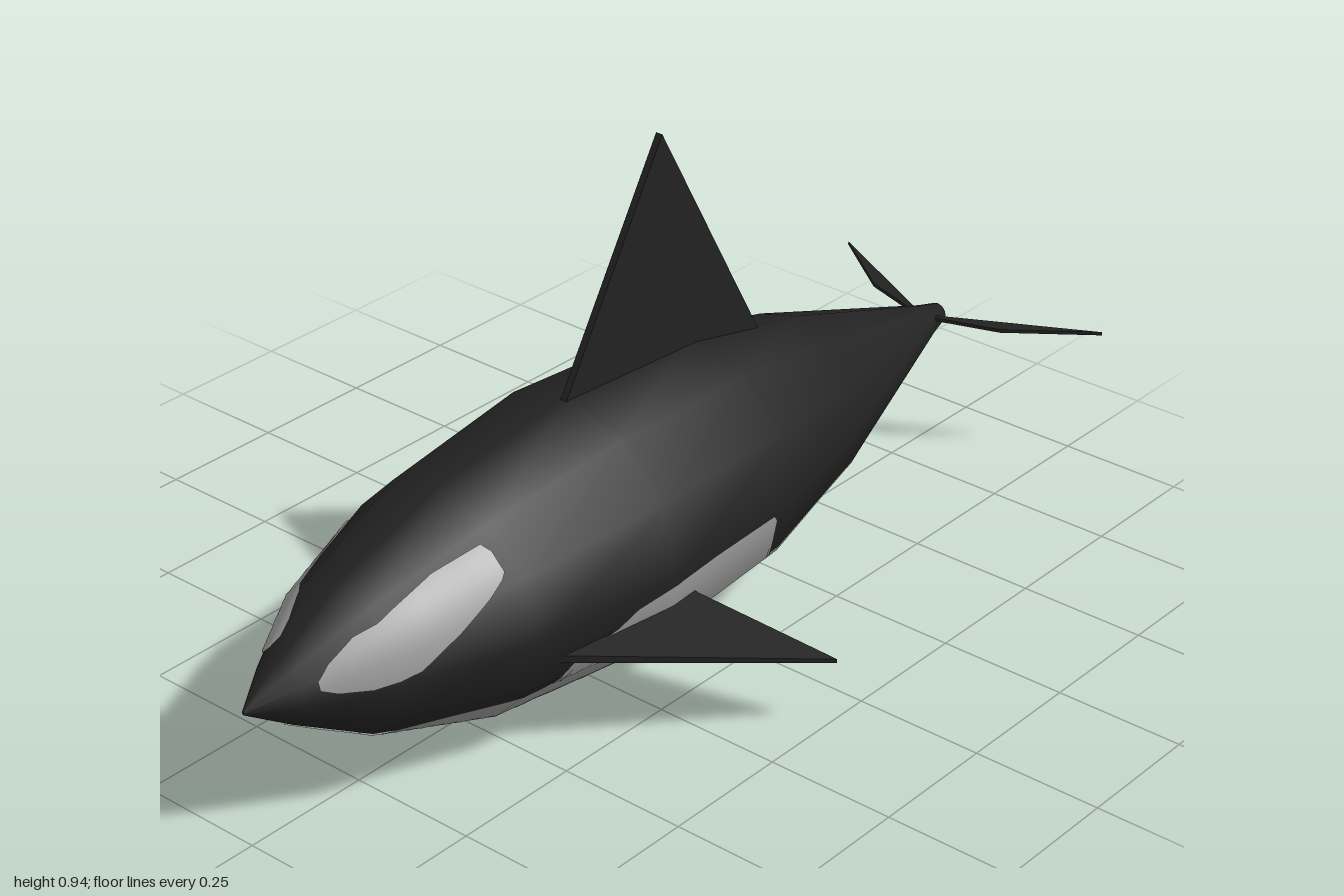
import * as THREE from 'three';

const black = new THREE.MeshStandardMaterial({ color: 0x222222 });
black.name = 'black skin';
const pale = new THREE.MeshStandardMaterial({ color: 0x9c9c9c, side: THREE.DoubleSide });
pale.name = 'pale markings';

const CY = 0.26; // height of the body axis
const SIDES = 12;
// body radius along z: [z, radius]
const PROFILE = [
  [-0.885, 0.02], [-0.84, 0.032], [-0.43, 0.168], [-0.13, 0.236], [0.21, 0.257],
  [0.53, 0.221], [0.78, 0.14], [0.92, 0.058], [1, 0.004],
];

// linear lookup in rows sorted by their first entry
function lookup(rows, z, col = 1) {
  if (z <= rows[0][0]) return rows[0][col];
  for (let i = 1; i < rows.length; i++) {
    const a = rows[i - 1], b = rows[i];
    if (z <= b[0]) return a[col] + (b[col] - a[col]) * (z - a[0]) / (b[0] - a[0]);
  }
  return rows[rows.length - 1][col];
}
const radius = (z) => lookup(PROFILE, z);

// angle from the belly line at which the body reaches height y
const angleAt = (z, y) => Math.acos(THREE.MathUtils.clamp((CY - y) / radius(z), -1, 1));

// thin marking that hugs the twelve-sided body between two angles
function marking(name, rows, from, to, segs) {
  const z0 = rows[0][0], z1 = rows[rows.length - 1][0];
  const zs = [...rows.map((r) => r[0]), ...PROFILE.map((r) => r[0])];
  for (let i = 0; i <= 60; i++) zs.push(z0 + (z1 - z0) * i / 60);
  const rings = [...new Set(zs)].filter((z) => z >= z0 && z <= z1).sort((a, b) => a - b);
  const step = 2 * Math.PI / SIDES;
  const pos = [], nor = [], idx = [];
  rings.forEach((z, i) => {
    const slope = (radius(z + 0.08) - radius(z - 0.08)) / 0.16;
    const a0 = from(z), a1 = to(z);
    for (let j = 0; j <= segs; j++) {
      const a = a0 + (a1 - a0) * j / segs;
      const inFacet = ((a % step) + step) % step - step / 2;
      const r = radius(z) * Math.cos(step / 2) / Math.cos(inFacet) + 0.004;
      pos.push(r * Math.sin(a), CY - r * Math.cos(a), z);
      const n = new THREE.Vector3(Math.sin(a), -Math.cos(a), -slope).normalize();
      nor.push(n.x, n.y, n.z);
      if (i && j) {
        const d = i * (segs + 1) + j, c = d - 1, b = d - segs - 1, e = b - 1;
        idx.push(e, b, c, b, d, c);
      }
    }
  });
  const g = new THREE.BufferGeometry();
  g.setAttribute('position', new THREE.Float32BufferAttribute(pos, 3));
  g.setAttribute('normal', new THREE.Float32BufferAttribute(nor, 3));
  g.setIndex(idx);
  const m = new THREE.Mesh(g, pale);
  m.name = name;
  return m;
}

// flat plate of even thickness, centred on its own plane
function plate(points, thickness) {
  const shape = new THREE.Shape(points.map(([x, y]) => new THREE.Vector2(x, y)));
  const g = new THREE.ExtrudeGeometry(shape, { depth: thickness, bevelEnabled: false });
  return g.translate(0, 0, -thickness / 2);
}

export function createModel() {
  const group = new THREE.Group();
  group.name = 'whale';
  const add = (name, geometry) => {
    const m = new THREE.Mesh(geometry, black);
    m.name = name;
    group.add(m);
  };

  // body
  const profile = [[-0.89, 0], ...PROFILE, [1, 0]].map(([z, r]) => new THREE.Vector2(r, z));
  add('body', new THREE.LatheGeometry(profile, SIDES).rotateX(Math.PI / 2).translate(0, CY, 0));

  // dorsal fin, drawn as (-z, y)
  add('dorsalFin', plate([[-0.22, 0.515], [-0.2, 0.42], [0.28, 0.4], [0.31, 0.45], [0.035, 0.935]], 0.014)
    .rotateY(Math.PI / 2));

  // flippers and tail flukes, drawn as (x, z)
  for (const side of [1, -1]) {
    const label = side > 0 ? 'left' : 'right';
    const mirror = (pts) => pts.map(([x, z]) => [side * x, z]);

    const flipper = plate(mirror([[0.2, 0.475], [0.19, 0.155], [0.25, 0.145], [0.512, 0.09]]), 0.014)
      .rotateX(Math.PI / 2);
    const p = flipper.attributes.position;
    for (let i = 0; i < p.count; i++) {
      const out = Math.abs(p.getX(i)) - 0.22;
      p.setY(i, p.getY(i) * (1 - out * 1.5) + 0.188 - 0.195 * out); // droop and thin to the tip
    }
    flipper.computeVertexNormals();
    add(label + 'Flipper', flipper);

    add(label + 'Fluke', plate(mirror([[0.0, -0.83], [0.035, -0.84], [0.155, -0.88], [0.312, -1], [0.03, -0.85]]), 0.007)
      .rotateX(Math.PI / 2).translate(0, 0.272, 0));
  }

  // belly marking: [z, height on the left, height on the right]
  const belly = [
    [-0.64, 0.15, 0.15], [-0.625, 0.185, 0.185], [-0.6, 0.19, 0.19], [-0.5, 0.175, 0.175],
    [-0.3, 0.15, 0.15], [-0.13, 0.135, 0.135], [-0.1, 0.14, 0.14], [-0.09, 0.225, 0.225],
    [-0.075, 0.243, 0.243], [0.1, 0.246, 0.246], [0.2, 0.242, 0.242], [0.3, 0.225, 0.225],
    [0.34, 0.2, 0.2], [0.42, 0.18, 0.18], [0.46, 0.15, 0.15], [0.55, 0.132, 0.135],
    [0.65, 0.134, 0.15], [0.74, 0.136, 0.17], [0.78, 0.137, 0.142], [0.81, 0.148, 0.146],
    [0.87, 0.178, 0.178], [0.915, 0.195, 0.195],
  ];
  group.add(marking('bellyMarking', belly,
    (z) => -angleAt(z, lookup(belly, z, 2)), (z) => angleAt(z, lookup(belly, z, 1)), 52));

  // eye patches: [z, lower height, upper height]
  const leftEye = [
    [0.555, 0.39, 0.42], [0.565, 0.38, 0.43], [0.66, 0.32, 0.408], [0.74, 0.277, 0.38],
    [0.82, 0.265, 0.35], [0.87, 0.27, 0.318], [0.895, 0.28, 0.295],
  ];
  const rightEye = [
    [0.555, 0.3, 0.345], [0.57, 0.275, 0.36], [0.62, 0.268, 0.367], [0.8, 0.267, 0.37],
    [0.85, 0.27, 0.35], [0.88, 0.285, 0.335], [0.9, 0.305, 0.32],
  ];
  group.add(marking('leftEyePatch', leftEye,
    (z) => angleAt(z, lookup(leftEye, z, 1)), (z) => angleAt(z, lookup(leftEye, z, 2)), 16));
  group.add(marking('rightEyePatch', rightEye,
    (z) => -angleAt(z, lookup(rightEye, z, 2)), (z) => -angleAt(z, lookup(rightEye, z, 1)), 16));

  return group;
}
